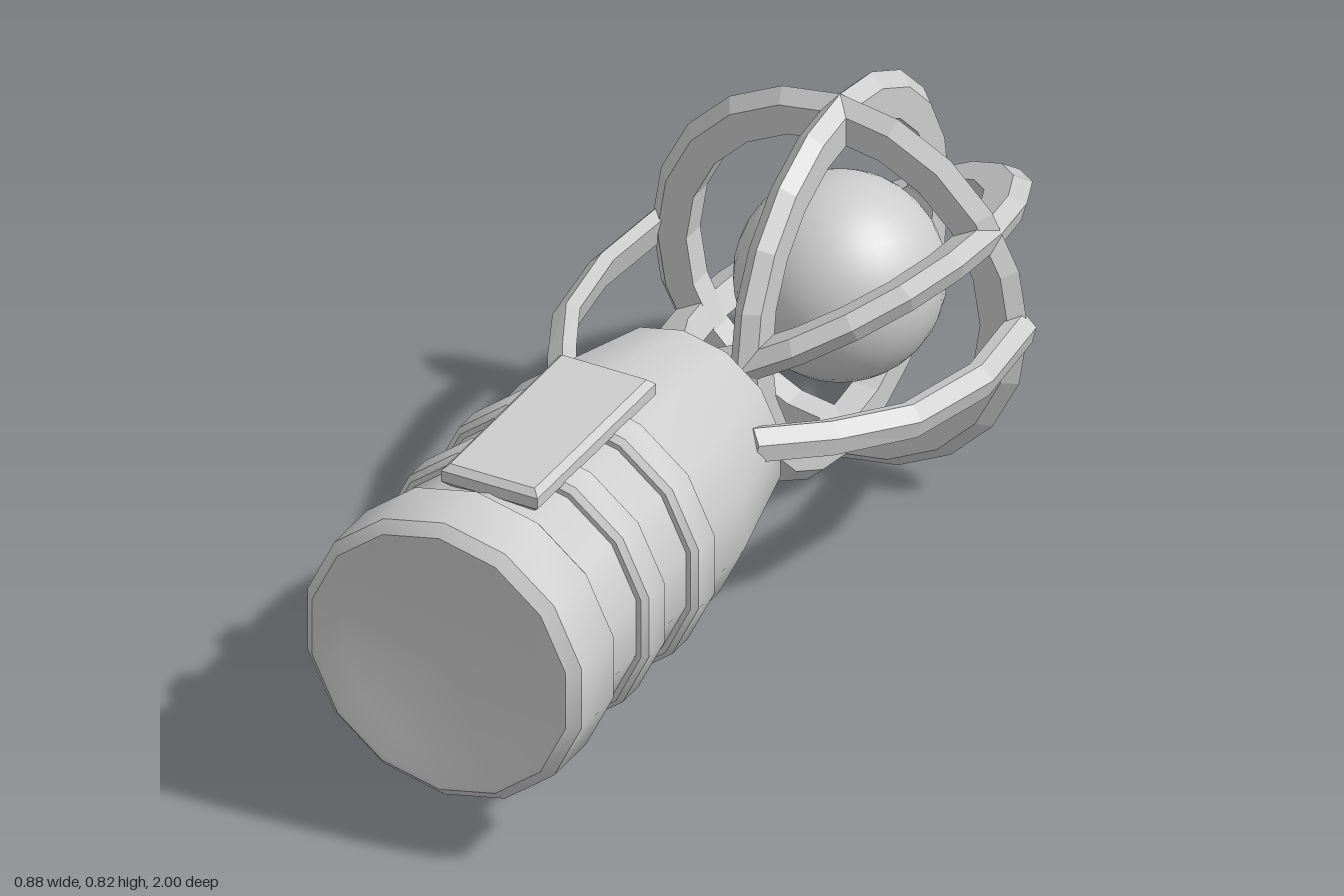
import * as THREE from 'three';
import { toCreasedNormals } from 'three/addons/utils/BufferGeometryUtils.js';

const grey = new THREE.MeshStandardMaterial({ color: 0xcccccc });
grey.name = 'grey metal';

const AXIS_Y = 0.418; // height of the handle axis
const CAGE = new THREE.Vector3(0, 0.415, -0.593);

function part(name, geometry, parent) {
  const mesh = new THREE.Mesh(geometry, grey);
  mesh.name = name;
  parent.add(mesh);
  return mesh;
}

// Sweeps a convex section of [outward, sideways] points along a path, flat shaded
function sweep(path, section, outHint, closed) {
  const n = path.length, pos = [];
  const rows = path.map((p, i) => {
    const next = closed ? path[(i + 1) % n] : path[Math.min(i + 1, n - 1)];
    const prev = closed ? path[(i + n - 1) % n] : path[Math.max(i - 1, 0)];
    const t = next.clone().sub(prev).normalize();
    const out = outHint(p).clone();
    out.addScaledVector(t, -out.dot(t)).normalize();
    const side = t.clone().cross(out);
    return section.map(([o, s]) => p.clone().addScaledVector(out, o).addScaledVector(side, s));
  });
  const tri = (...v) => v.forEach(q => pos.push(q.x, q.y, q.z));
  const m = section.length;
  for (let i = 0; i < (closed ? n : n - 1); i++) {
    const r0 = rows[i], r1 = rows[(i + 1) % n];
    for (let j = 0; j < m; j++) {
      const k = (j + 1) % m;
      tri(r0[j], r0[k], r1[k]);
      tri(r0[j], r1[k], r1[j]);
    }
  }
  if (!closed) {
    const a = rows[0], b = rows[n - 1];
    for (let j = 1; j < m - 1; j++) {
      tri(a[0], a[j + 1], a[j]);
      tri(b[0], b[j], b[j + 1]);
    }
  }
  const g = new THREE.BufferGeometry();
  g.setAttribute('position', new THREE.Float32BufferAttribute(pos, 3));
  g.computeVertexNormals();
  return g;
}

// Fourteen-sided turned part along z, from [z, radius] points running rear to front
function turned(profile) {
  const g = new THREE.LatheGeometry(profile.map(([z, r]) => new THREE.Vector2(r, z)), 14);
  g.rotateX(Math.PI / 2);
  g.translate(0, AXIS_Y, 0);
  return toCreasedNormals(g, 0.5);
}

// Bar section with a ridge on its outer side
const ridged = (ridge, shoulder, inner, w) =>
  [[ridge, 0], [shoulder, w], [inner, w], [inner, -w], [shoulder, -w]];

export function createModel() {
  const model = new THREE.Group();
  model.name = 'cagedBallDevice';

  // Handle with tapered rear and thick front collar
  const handle = new THREE.Group();
  handle.name = 'handle';
  model.add(handle);
  part('handleBody', turned([
    [0.03, 0], [0.03, 0.2175], [0.278, 0.275], [0.82, 0.275], [0.825, 0.284],
    [0.85, 0.306], [0.978, 0.306], [1, 0.283], [1, 0.272], [0.985, 0.22], [0.985, 0],
  ]), handle);

  // Two raised grip bands
  for (const z of [0.465, 0.662]) {
    part('gripBand', turned([
      [z - 0.043, 0.272], [z - 0.043, 0.286], [z - 0.031, 0.297],
      [z + 0.031, 0.297], [z + 0.043, 0.286], [z + 0.043, 0.272],
    ]), handle);
  }

  // Bevelled plate on top of the handle
  const b = 0.013, w = 0.105 - b, l = 0.235 - b;
  const outline = new THREE.Shape([[-w, -l], [w, -l], [w, l], [-w, l]].map(p => new THREE.Vector2(...p)));
  const plate = new THREE.ExtrudeGeometry(outline, {
    depth: 0.05 - 2 * b, bevelEnabled: true, bevelThickness: b, bevelSize: b, bevelSegments: 1,
  });
  plate.rotateX(-Math.PI / 2);
  plate.translate(0, 0.675 + b, 0.565);
  part('topPlate', plate, handle);

  // Ball floating in the cage
  part('ball', new THREE.SphereGeometry(0.205, 32, 20), model).position.copy(CAGE);

  // Cage of three ridged rings
  const cage = new THREE.Group();
  cage.name = 'cage';
  cage.position.copy(CAGE);
  model.add(cage);
  const circle = Array.from({ length: 20 }, (_, i) => {
    const a = i * Math.PI / 10;
    return new THREE.Vector3(0.365 * Math.cos(a), 0.365 * Math.sin(a), 0);
  });
  const ring = sweep(circle, ridged(0.045, 0.018, -0.045, 0.028), p => p, true);
  part('uprightRing', ring, cage);
  part('lengthwiseRing', ring.clone().rotateY(Math.PI / 2), cage);
  part('tiltedRing', ring.clone().rotateX(Math.PI / 2).rotateZ(Math.PI / 6), cage);

  // Curved arms joining the handle to the cage
  for (const [name, s] of [['leftArm', 1], ['rightArm', -1]]) {
    const path = [
      [0.4, 0.415, -0.6], [0.417, 0.412, -0.4], [0.38, 0.425, -0.19],
      [0.297, 0.455, -0.02], [0.21, 0.5, 0.14],
    ].map(([x, y, z]) => new THREE.Vector3(s * x, y, z));
    const out = new THREE.Vector3(s, 0.25, 0);
    part(name, sweep(path, ridged(0.024, 0.006, -0.022, 0.033), () => out, false), model);
  }
  return model;
}
